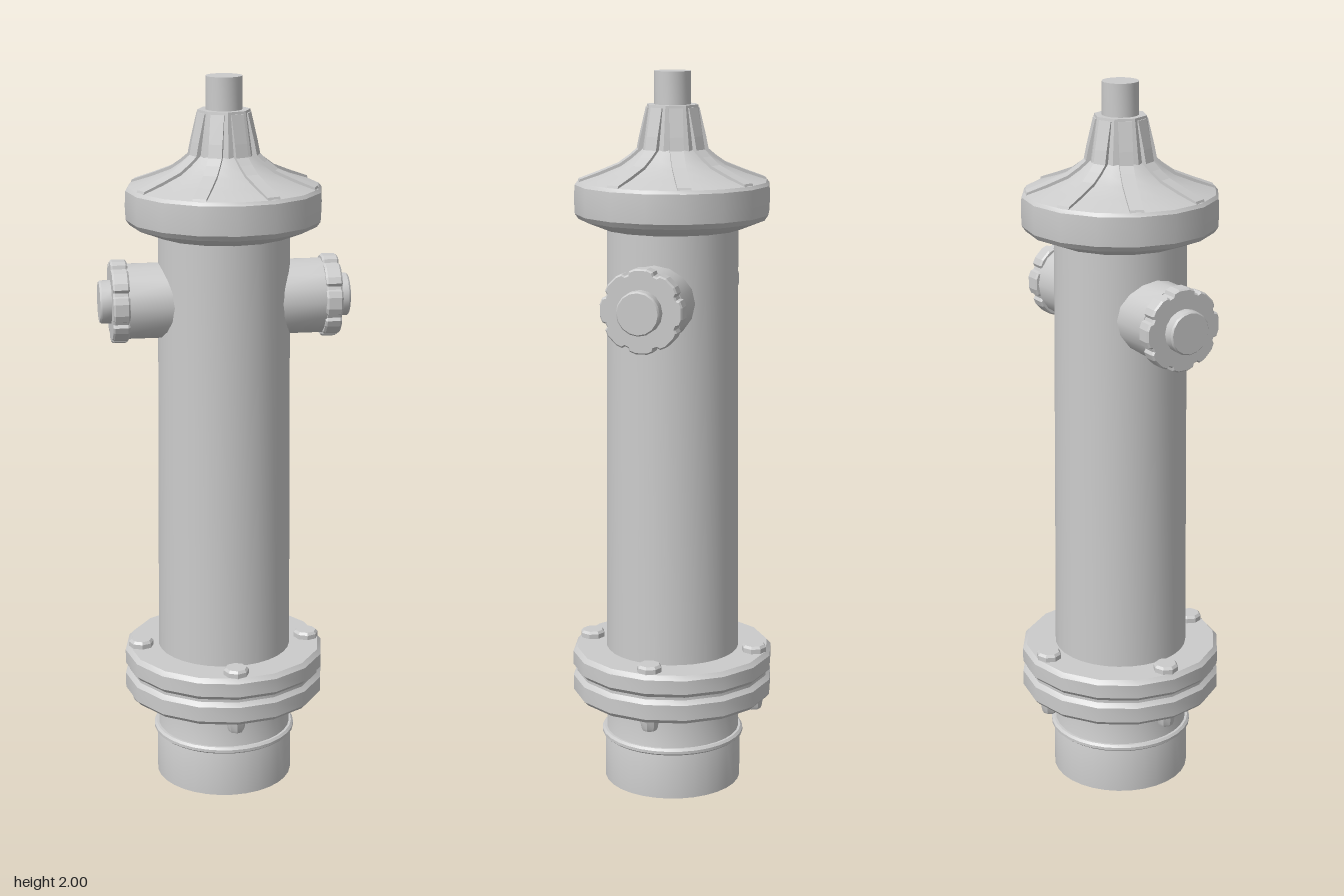
import * as THREE from 'three';
import { toCreasedNormals } from 'three/addons/utils/BufferGeometryUtils.js';

const grey = new THREE.MeshStandardMaterial({ color: 0xcccccc });
const greyThin = new THREE.MeshStandardMaterial({ color: 0xcccccc, side: THREE.DoubleSide });

function add(parent, name, geometry, material = grey) {
  const mesh = new THREE.Mesh(geometry, material);
  mesh.name = name;
  parent.add(mesh);
  return mesh;
}

// Turned part from [radius, y] points listed bottom to top, with sharp edges kept
function turned(points, sides) {
  const profile = points.map(([r, y]) => new THREE.Vector2(r, y));
  return toCreasedNormals(new THREE.LatheGeometry(profile, sides), 0.45);
}

// Chamfered flange disc
function flangeGeometry(y0, y1) {
  return turned([[0, y0], [0.272, y0], [0.283, y0 + 0.012], [0.283, y1 - 0.012], [0.272, y1], [0, y1]], 16);
}

// Scalloped outline: broad lobes split by small notches
function gripShape() {
  const shape = new THREE.Shape();
  const lobes = 8;
  const steps = [[-17, 0.11], [-8, 0.113], [8, 0.113], [17, 0.11], [20, 0.102], [25, 0.102]];
  for (let i = 0; i < lobes; i++) {
    for (const [deg, r] of steps) {
      const a = (i * 360 / lobes + deg) * Math.PI / 180;
      if (i === 0 && deg === -17) shape.moveTo(r * Math.cos(a), r * Math.sin(a));
      else shape.lineTo(r * Math.cos(a), r * Math.sin(a));
    }
  }
  shape.closePath();
  return shape;
}

// Side outlet, built along +y and later laid along x
function makeOutlet(name) {
  const outlet = new THREE.Group();
  outlet.name = name;
  add(outlet, 'outletPipe', turned([[0.103, 0.1], [0.103, 0.268], [0, 0.268]], 16));
  const grip = new THREE.ExtrudeGeometry(gripShape(), {
    depth: 0.035, bevelEnabled: true, bevelThickness: 0.005, bevelSize: 0.004, bevelOffset: -0.004, bevelSegments: 1,
  });
  grip.rotateX(-Math.PI / 2);
  grip.translate(0, 0.27, 0);
  add(outlet, 'outletCap', grip);
  add(outlet, 'outletNut', turned([[0, 0.305], [0.059, 0.305], [0.059, 0.336], [0.055, 0.341], [0, 0.341]], 16));
  outlet.position.y = 1.4;
  return outlet;
}

export function createModel() {
  const model = new THREE.Group();
  model.name = 'hydrant';

  // Base pipe, open underneath, with a joint ring
  add(model, 'basePipe', turned([[0.193, 0], [0.193, 0.135], [0.188, 0.15], [0.188, 0.26]], 32), greyThin);
  add(model, 'jointRing', turned([[0.175, 0.13], [0.195, 0.13], [0.201, 0.135], [0.201, 0.143], [0.195, 0.149],
    [0.175, 0.149], [0.175, 0.13]], 32));

  // Paired flanges with a narrow gasket between
  add(model, 'lowerFlange', flangeGeometry(0.255, 0.322));
  add(model, 'gasket', turned([[0.272, 0.32], [0.272, 0.332]], 16));
  add(model, 'upperFlange', flangeGeometry(0.33, 0.393));

  // Flange bolts
  for (let i = 0; i < 4; i++) {
    const bolt = new THREE.Group();
    bolt.name = 'flangeBolt';
    const a = i * Math.PI / 2;
    bolt.position.set(0.238 * Math.sin(a), 0, 0.238 * Math.cos(a));
    bolt.rotation.y = a;
    add(bolt, 'boltHead', turned([[0, 0.39], [0.035, 0.39], [0.035, 0.406], [0.029, 0.413], [0, 0.413]], 8));
    add(bolt, 'boltNut', turned([[0, 0.222], [0.02, 0.222], [0.024, 0.23], [0.028, 0.257], [0, 0.257]], 8));
    model.add(bolt);
  }

  // Slightly tapered barrel
  add(model, 'barrel', turned([[0.187, 0.39], [0.178, 1.6]], 32));

  // Outlets on both sides
  const leftOutlet = makeOutlet('leftOutlet');
  leftOutlet.rotation.z = -Math.PI / 2;
  const rightOutlet = makeOutlet('rightOutlet');
  rightOutlet.rotation.z = Math.PI / 2;
  model.add(leftOutlet, rightOutlet);

  // Bonnet with a thick rim and a concave roof
  add(model, 'bonnet', turned([[0, 1.582], [0.19, 1.582], [0.255, 1.608], [0.265, 1.622], [0.267, 1.66],
    [0.265, 1.7], [0.258, 1.709], [0.2, 1.728], [0.145, 1.75], [0.115, 1.771], [0.085, 1.797], [0, 1.797]], 16));

  // Eight-sided neck
  add(model, 'neck', turned([[0.092, 1.77], [0.09, 1.79], [0.071, 1.912], [0, 1.912]], 8));

  // Raised ribs running up the roof and the neck
  const ribShape = new THREE.Shape([[0.258, 1.7], [0.252, 1.716], [0.2, 1.735], [0.145, 1.757], [0.115, 1.778],
    [0.095, 1.795], [0.088, 1.83], [0.07, 1.905], [0.05, 1.905], [0.05, 1.7]].map(([x, y]) => new THREE.Vector2(x, y)));
  const ribGeometry = new THREE.ExtrudeGeometry(ribShape, { depth: 0.037, bevelEnabled: false });
  ribGeometry.translate(0, 0, -0.0185);
  for (let i = 0; i < 8; i++) {
    add(model, 'bonnetRib', ribGeometry).rotation.y = (i + 0.5) * Math.PI / 4;
  }

  // Operating stem
  add(model, 'stem', turned([[0.049, 1.9], [0.049, 2], [0, 2]], 24));

  return model;
}
